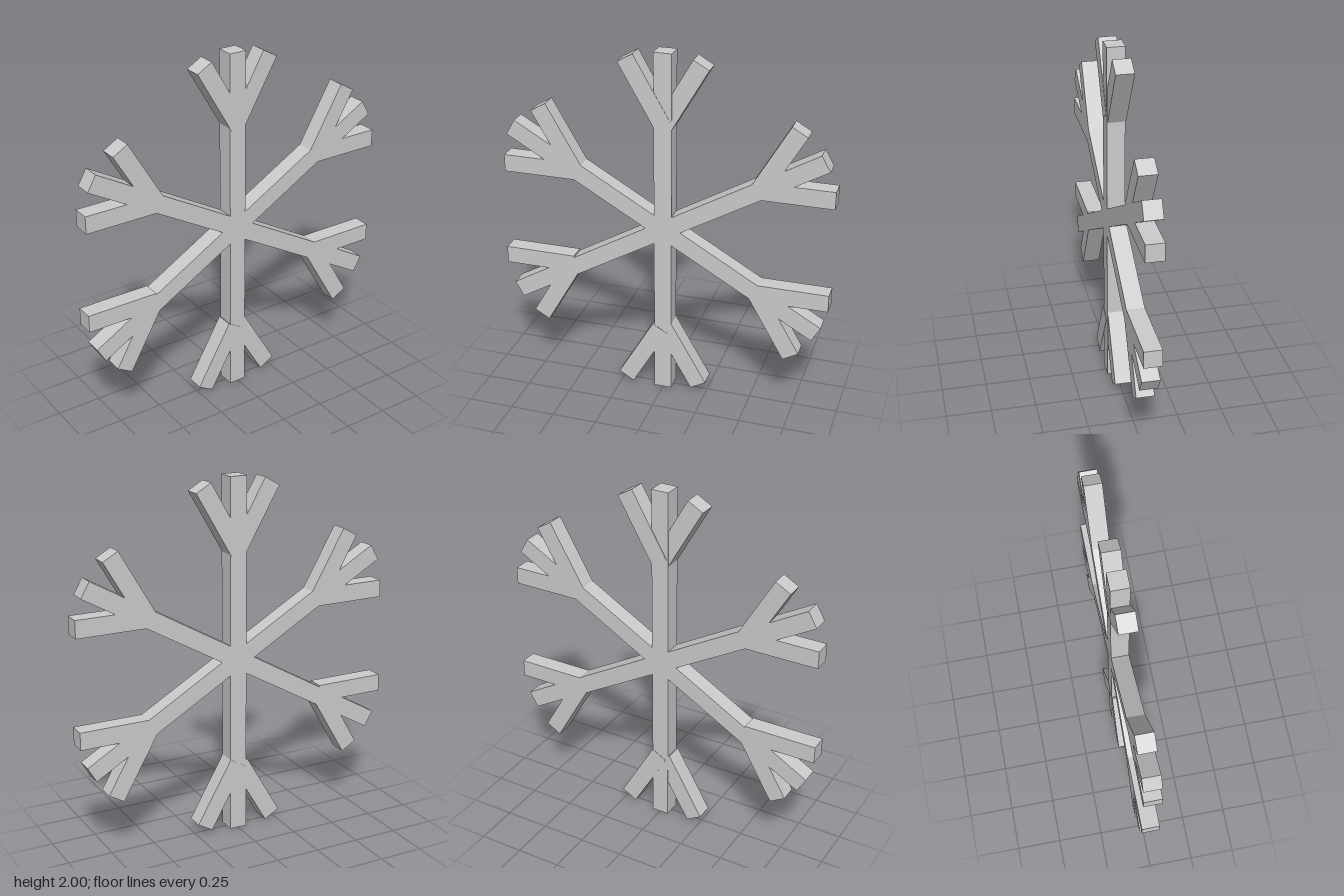
import * as THREE from 'three';

const WIDTH = 0.098;
const BRANCH_LENGTH = 0.405;

export function createModel() {
  const group = new THREE.Group();
  group.name = 'snowflake';
  const material = new THREE.MeshStandardMaterial({ color: 0xcccccc, flatShading: true });

  // Square bar centred at (x, y, z), turned in the xy plane
  function bar(name, length, x, y, z, degrees) {
    const mesh = new THREE.Mesh(new THREE.BoxGeometry(length, WIDTH, WIDTH), material);
    mesh.name = name;
    mesh.position.set(x, y, z);
    mesh.rotation.z = THREE.MathUtils.degToRad(degrees);
    group.add(mesh);
  }

  // Three full-length bars crossing at the centre
  [30, 90, 150].forEach((a, i) => bar('mainBar' + (i + 1), 2, -0.002, 1, 0, a));

  // Slightly uneven side branches: tip centre x, y, outward angle, depth offset
  const branches = [
    ['topLeftBranch', 0.202, 1.954, 60, -0.004],
    ['topRightBranch', -0.205, 1.957, 120, 0.002],
    ['upperLeftSteepBranch', 0.723, 1.655, 60, 0],
    ['upperLeftLevelBranch', 0.924, 1.303, 0, 0],
    ['upperRightSteepBranch', -0.701, 1.634, 120, 0],
    ['upperRightLevelBranch', -0.914, 1.284, 180, 0],
    ['lowerRightLevelBranch', -0.93, 0.715, 180, 0],
    ['lowerRightSteepBranch', -0.734, 0.355, 240, 0],
    ['bottomRightBranch', -0.221, 0.032, 240, 0.002],
    ['bottomLeftBranch', 0.207, 0.046, 300, -0.002],
    ['lowerLeftSteepBranch', 0.731, 0.336, 300, 0],
    ['lowerLeftLevelBranch', 0.922, 0.699, 0, 0],
  ];
  for (const [name, tipX, tipY, degrees, z] of branches) {
    const a = THREE.MathUtils.degToRad(degrees);
    const half = BRANCH_LENGTH / 2;
    bar(name, BRANCH_LENGTH, tipX - Math.cos(a) * half, tipY - Math.sin(a) * half, z, degrees);
  }

  return group;
}
